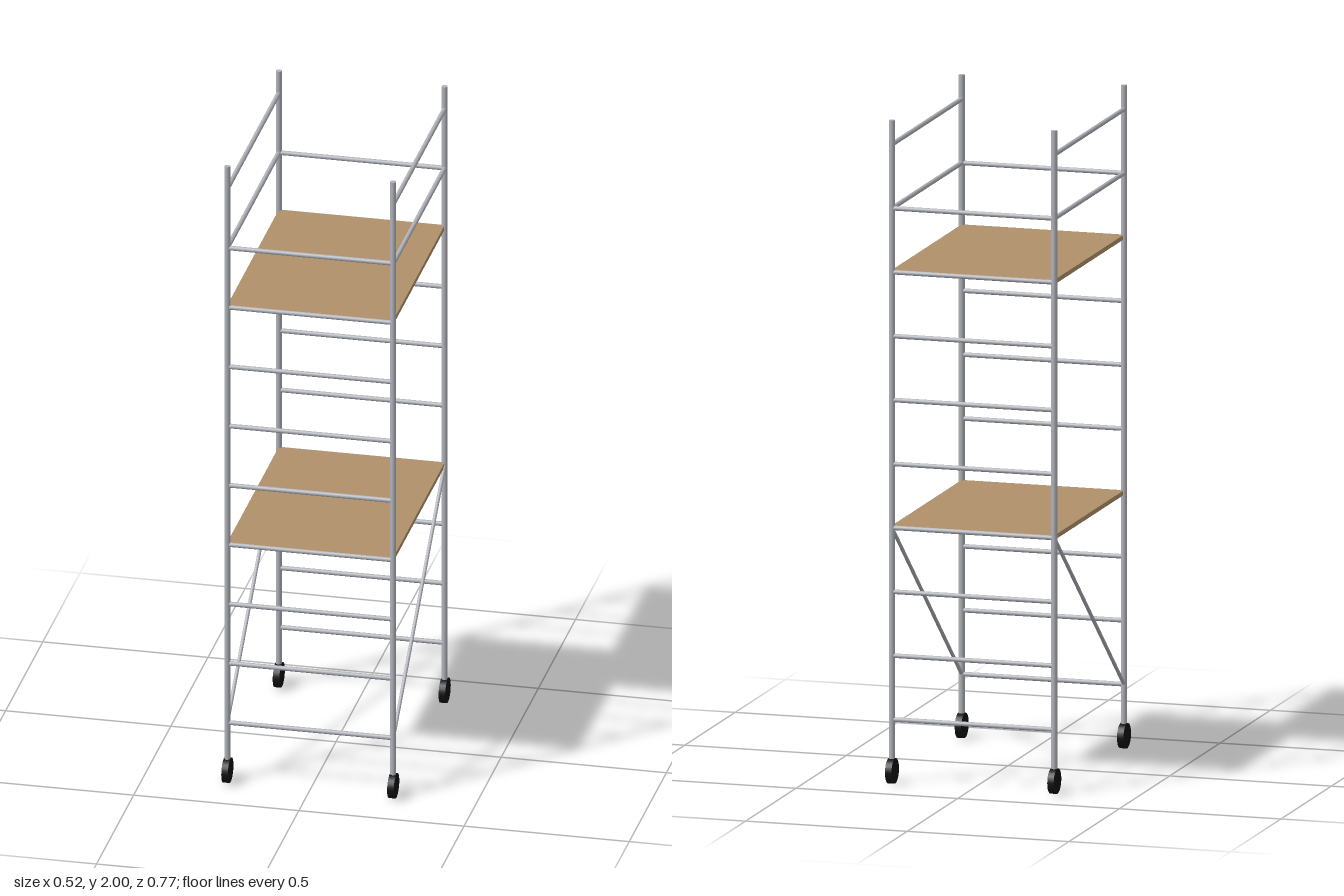
import * as THREE from 'three';

const steel = new THREE.MeshStandardMaterial({ color: 0xb0b3ba });
steel.name = 'steel';
const wood = new THREE.MeshStandardMaterial({ color: 0xb0916a });
wood.name = 'wood';
const rubber = new THREE.MeshStandardMaterial({ color: 0x111111 });
rubber.name = 'rubber';

const X = 0.251, Z = 0.346; // post centres
const STEP = 0.1927; // rung spacing

// Round tube between two points
function tube(name, a, b, radius) {
  const from = new THREE.Vector3(...a), to = new THREE.Vector3(...b);
  const dir = to.clone().sub(from);
  const mesh = new THREE.Mesh(new THREE.CylinderGeometry(radius, radius, dir.length(), 16), steel);
  mesh.position.copy(from).add(to).multiplyScalar(0.5);
  mesh.quaternion.setFromUnitVectors(new THREE.Vector3(0, 1, 0), dir.normalize());
  mesh.name = name;
  return mesh;
}

export function createModel() {
  const group = new THREE.Group();
  group.name = 'scaffoldTower';

  // Corner posts and wheels
  const wheelGeometry = new THREE.CylinderGeometry(0.038, 0.038, 0.02, 24).rotateZ(Math.PI / 2);
  for (const x of [-X, X]) {
    for (const z of [-Z, Z]) {
      group.add(tube('post', [x, 0.04, z], [x, 2, z], 0.009));
      const wheel = new THREE.Mesh(wheelGeometry, rubber);
      wheel.position.set(x, 0.038, z);
      wheel.name = 'wheel';
      group.add(wheel);
    }
  }

  // Ladder rungs on the front and back frames
  for (const z of [-Z, Z]) {
    for (let i = 1; i <= 9; i++) {
      group.add(tube('rung', [-X, i * STEP, z], [X, i * STEP, z], 0.007));
    }
  }

  // Guard rails and diagonal braces on both sides
  for (const x of [-X, X]) {
    for (const i of [9, 10]) {
      group.add(tube('guardRail', [x, i * STEP, -Z], [x, i * STEP, Z], 0.007));
    }
    group.add(tube('diagonalBrace', [x, STEP, Z], [x, 4 * STEP, -Z], 0.0055));
  }

  // Working platforms
  for (const i of [4, 8]) {
    const platform = new THREE.Mesh(new THREE.BoxGeometry(2 * X, 0.014, 2 * Z), wood);
    platform.position.y = i * STEP;
    platform.name = 'platform';
    group.add(platform);
  }

  return group;
}
